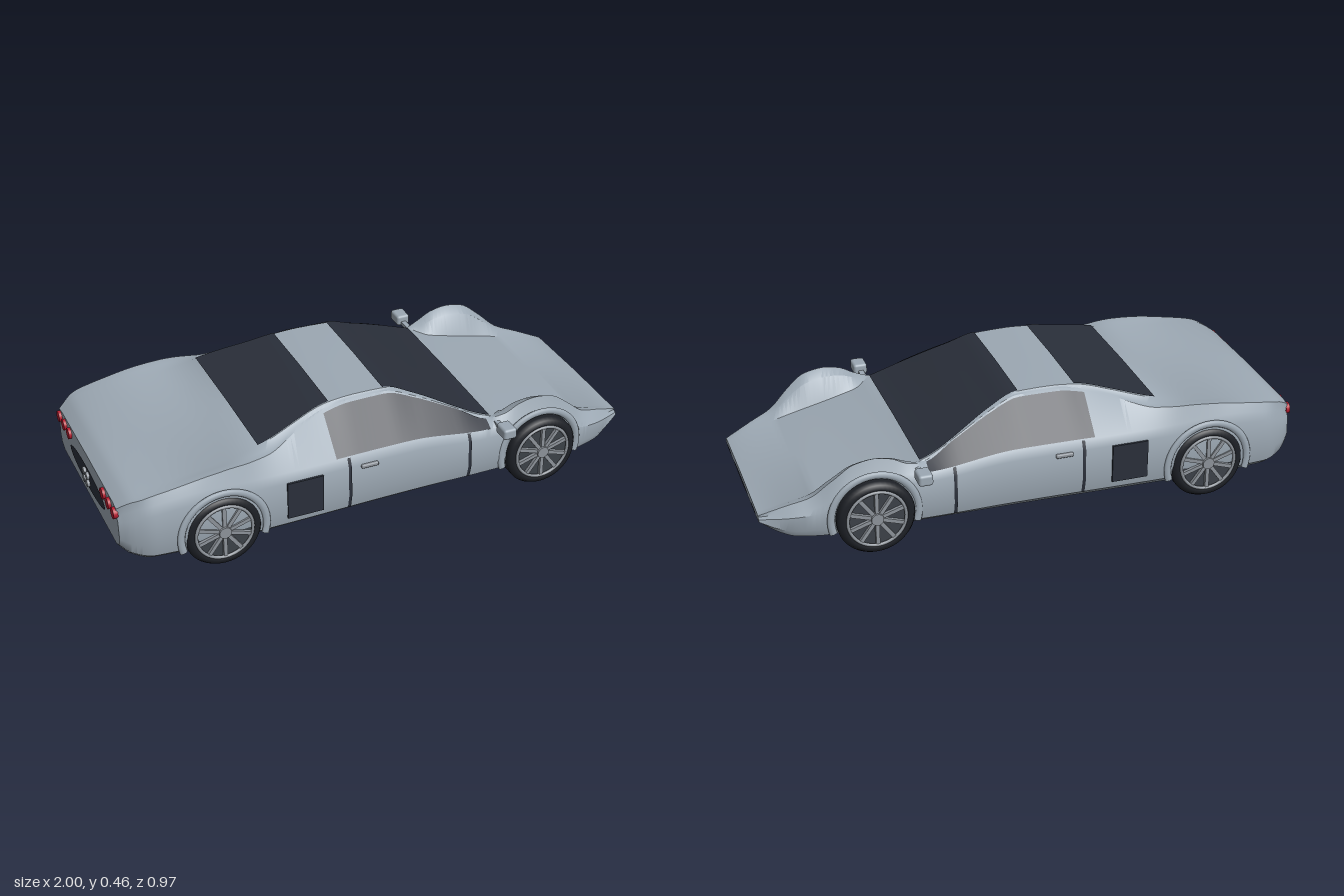
import * as THREE from 'three';
import { toCreasedNormals } from 'three/addons/utils/BufferGeometryUtils.js';
import { RoundedBoxGeometry } from 'three/addons/geometries/RoundedBoxGeometry.js';

const mat = (name, color, side = THREE.FrontSide) => {
  const m = new THREE.MeshStandardMaterial({ color, side });
  m.name = name;
  return m;
};

// Smooth curve through [x, value] keys without overshoot
function curve(keys) {
  const n = keys.length;
  const d = keys.slice(1).map((k, i) => (k[1] - keys[i][1]) / (k[0] - keys[i][0]));
  const slope = keys.map((k, i) => {
    if (i === 0) return d[0];
    if (i === n - 1) return d[n - 2];
    return d[i - 1] * d[i] <= 0 ? 0 : 2 * d[i - 1] * d[i] / (d[i - 1] + d[i]);
  });
  return (x) => {
    let i = 0;
    while (i < n - 2 && x > keys[i + 1][0]) i++;
    const h = keys[i + 1][0] - keys[i][0];
    const t = THREE.MathUtils.clamp((x - keys[i][0]) / h, 0, 1), t2 = t * t, t3 = t2 * t;
    return (2 * t3 - 3 * t2 + 1) * keys[i][1] + (t3 - 2 * t2 + t) * h * slope[i]
      + (3 * t2 - 2 * t3) * keys[i + 1][1] + (t3 - t2) * h * slope[i + 1];
  };
}

// Body lines along the length of the car
const halfWidth = curve([[-0.985, 0.36], [-0.95, 0.388], [-0.87, 0.42], [-0.7, 0.432], [-0.4, 0.428],
  [0, 0.418], [0.5, 0.412], [0.75, 0.405], [0.85, 0.38], [0.97, 0.325], [0.998, 0.31]]);
const floorY = curve([[-0.985, 0.115], [-0.95, 0.085], [-0.88, 0.066], [0.88, 0.066], [0.93, 0.08], [0.998, 0.123]]);
const beltY = curve([[-0.985, 0.25], [-0.9, 0.29], [-0.7, 0.315], [-0.5, 0.306], [-0.2, 0.3], [0.1, 0.298],
  [0.4, 0.268], [0.5, 0.272], [0.6, 0.285], [0.7, 0.26], [0.8, 0.19], [0.9, 0.165], [0.998, 0.14]]);
const shoulderZ = curve([[-0.985, 0.345], [-0.9, 0.385], [-0.7, 0.395], [-0.55, 0.39], [-0.45, 0.37], [-0.3, 0.31],
  [-0.17, 0.275], [0.04, 0.268], [0.3, 0.325], [0.42, 0.355], [0.5, 0.372], [0.7, 0.372], [0.8, 0.35], [0.998, 0.295]]);
const shoulderY = curve([[-0.985, 0.28], [-0.93, 0.312], [-0.8, 0.338], [-0.65, 0.36], [-0.55, 0.366], [-0.45, 0.366],
  [-0.3, 0.405], [-0.2, 0.432], [-0.1, 0.449], [0.04, 0.448], [0.15, 0.412], [0.3, 0.346], [0.42, 0.288],
  [0.48, 0.302], [0.54, 0.332], [0.6, 0.343], [0.67, 0.332], [0.75, 0.275], [0.82, 0.215], [0.9, 0.185], [0.998, 0.147]]);
const edgeZ = curve([[-0.985, 0.31], [-0.9, 0.34], [-0.7, 0.33], [-0.46, 0.32], [-0.17, 0.26], [0.04, 0.255],
  [0.43, 0.345], [0.5, 0.3], [0.75, 0.29], [0.998, 0.27]]);
const edgeY = curve([[-0.985, 0.285], [-0.93, 0.318], [-0.8, 0.337], [-0.6, 0.352], [-0.46, 0.38], [-0.3, 0.422],
  [-0.17, 0.452], [-0.08, 0.458], [0.04, 0.455], [0.15, 0.415], [0.43, 0.29], [0.6, 0.245], [0.8, 0.2], [0.998, 0.148]]);

// Half cross-section, from under the floor up to the centre line of the top
function half(x) {
  const w = halfWidth(x), f = floorY(x), b = beltY(x), h = b - f;
  const sz = shoulderZ(x), sy = shoulderY(x), ez = edgeZ(x), ey = edgeY(x);
  return [[0, f], [w - 0.045, f], [w - 0.012, f + 0.12 * h], [w, f + 0.36 * h], [w - 0.004, f + 0.86 * h],
    [w - 0.018, b], [sz, sy], [sz + (ez - sz) * 0.5, sy + (ey - sy) * 0.22], [ez, ey], [0, ey + 0.004]]
    .map(([z, y]) => new THREE.Vector3(x, y, z));
}
const flip = (p) => new THREE.Vector3(p.x, p.y, -p.z);
const steps = (a, b, n) => Array.from({ length: n + 1 }, (_, i) => a + (b - a) * i / n);

// Skin a list of rows of points; caps close both ends
function skin(rows, caps = false) {
  const pos = [], m = rows[0].length;
  const tri = (...p) => p.forEach((v) => pos.push(v.x, v.y, v.z));
  for (let i = 0; i < rows.length - 1; i++) {
    for (let j = 0; j < m - 1; j++) {
      const a = rows[i][j], b = rows[i + 1][j], c = rows[i + 1][j + 1], d = rows[i][j + 1];
      tri(a, b, c);
      tri(a, c, d);
    }
  }
  if (caps) [rows[0], rows[rows.length - 1]].forEach((r, k) => {
    const c = new THREE.Vector3(r[0].x, (r[0].y + r[9].y) / 2, 0);
    for (let j = 0; j < m - 1; j++) k ? tri(c, r[j + 1], r[j]) : tri(c, r[j], r[j + 1]);
  });
  const g = new THREE.BufferGeometry();
  g.setAttribute('position', new THREE.Float32BufferAttribute(pos, 3));
  return toCreasedNormals(g, 0.6);
}

export function createModel() {
  const car = new THREE.Group();
  car.name = 'sportsCar';
  const paint = mat('silver paint', 0x9ca8b3);
  const glass = mat('dark glass', 0x2a2f3a, THREE.DoubleSide);
  const rubber = mat('tyre rubber', 0x1d2026);
  const metal = mat('wheel metal', 0x8d939a);
  const dark = mat('dark metal', 0x3c4148);
  const red = mat('red lamp', 0xb51d30);
  const add = (name, geo, m, x = 0, y = 0, z = 0, parent = car) => {
    const mesh = new THREE.Mesh(geo, m);
    mesh.name = name;
    mesh.position.set(x, y, z);
    parent.add(mesh);
    return mesh;
  };

  // Body shell
  const ring = (x) => {
    const p = half(x);
    return [...p, ...p.slice(0, 9).reverse().map(flip)];
  };
  add('body', skin(steps(-0.985, 0.998, 120).map(ring), true), paint);

  // Windscreen and rear window lie just above the body
  const across = (x) => {
    const p = half(x);
    const e = p[8].clone(), c = p[9].clone();
    e.y += 0.004; c.y += 0.004;
    return [e, c, flip(e)];
  };
  add('windscreen', skin(steps(0.04, 0.43, 18).map(across)), glass);
  add('rearWindow', skin(steps(-0.46, -0.17, 14).map(across)), glass);

  // Strip on the body side between two section points, for either side
  const onSide = (name, x0, x1, n, pick, side) => add(name, skin(steps(x0, x1, n).map((x) => pick(half(x)).map((p) => {
    const q = p.clone().add(new THREE.Vector3(0, 0.002, 0.004));
    return side > 0 ? q : flip(q);
  }))), glass);

  for (const side of [1, -1]) {
    const s = side > 0 ? 'left' : 'right';
    const face = side > 0 ? 0 : Math.PI;
    onSide(s + 'SideWindow', -0.2, 0.41, 28,
      (p) => [p[5].clone().lerp(p[6], 0.03), p[5].clone().lerp(p[6], 0.96)], -side);
    for (const [x, k] of [[-0.155, 6], [0.32, 6]]) {
      onSide(s + 'DoorSeam', x - 0.006, x + 0.006, 1, (p) => p.slice(2, k), -side);
    }
    // Slits on the front fender
    for (const t of [0.1, 0.45, 0.8]) {
      onSide(s + 'FenderSlit', 0.56, 0.69, 6,
        (p) => [p[7].clone().lerp(p[8], t), p[7].clone().lerp(p[8], t + 0.06)], -side);
    }
    add(s + 'SideVent', new THREE.BoxGeometry(0.135, 0.145, 0.008), glass, -0.328, 0.198, side * (halfWidth(-0.33) + 0.001));
    add(s + 'DoorHandle', new RoundedBoxGeometry(0.065, 0.015, 0.014, 2, 0.005), metal, -0.08, 0.262, side * (halfWidth(-0.08) + 0.002));

    // Door mirror on a short arm
    add(s + 'Mirror', new RoundedBoxGeometry(0.052, 0.042, 0.068, 3, 0.01), paint, 0.445, 0.286, side * 0.451);
    add(s + 'MirrorArm', new THREE.BoxGeometry(0.02, 0.014, 0.06), paint, 0.445, 0.276, side * 0.398);

    // Wheels and arch lips
    for (const [end, x] of [['Front', 0.61], ['Rear', -0.632]]) {
      const lip = new THREE.TorusGeometry(0.157, 0.014, 8, 40, Math.PI + 0.6);
      lip.rotateZ(-0.3).scale(1, 1, 0.6);
      add(s + end + 'ArchLip', lip, paint, x, 0.14, side * (halfWidth(x) - 0.002));

      const wheel = new THREE.Group();
      wheel.name = s + end + 'Wheel';
      wheel.position.set(x, 0.14, side * 0.375);
      wheel.rotation.y = face;
      car.add(wheel);
      const tyre = new THREE.LatheGeometry([[0.02, -0.06], [0.115, -0.063], [0.131, -0.058], [0.14, -0.044], [0.14, 0.044],
        [0.131, 0.058], [0.115, 0.063], [0.106, 0.056], [0.104, 0.04]].map(([r, y]) => new THREE.Vector2(r, y)), 48);
      add('tyre', tyre.rotateX(Math.PI / 2), rubber, 0, 0, 0, wheel);
      add('rimDish', new THREE.CylinderGeometry(0.106, 0.106, 0.02, 40).rotateX(Math.PI / 2), dark, 0, 0, 0.04, wheel);
      add('rimRing', new THREE.TorusGeometry(0.104, 0.006, 8, 48), metal, 0, 0, 0.059, wheel);
      add('hub', new THREE.CylinderGeometry(0.022, 0.026, 0.022, 24).rotateX(Math.PI / 2), metal, 0, 0, 0.057, wheel);
      for (let i = 0; i < 10; i++) {
        const spoke = new THREE.BoxGeometry(0.014, 0.085, 0.014).translate(0, 0.061, 0).rotateZ(i * Math.PI / 5);
        add('spoke', spoke, metal, 0, 0, 0.055, wheel);
      }
    }

    // Tail lamps, exhausts and outer nose intake
    for (const z of [0.205, 0.268, 0.33]) {
      add(s + 'TailLamp', new THREE.CylinderGeometry(0.021, 0.021, 0.016, 24).rotateZ(Math.PI / 2), red, -0.988, 0.256, side * z);
    }
    for (const y of [0.18, 0.212]) {
      add(s + 'Exhaust', new THREE.CylinderGeometry(0.014, 0.014, 0.02, 20).rotateZ(Math.PI / 2), metal, -0.988, y, side * 0.018);
    }
    const intake = new THREE.CircleGeometry(1, 32).scale(0.042, 0.006, 1).rotateY(Math.PI / 2);
    add(s + 'NoseIntake', intake, glass, 1, 0.136, side * 0.222);
  }

  // Centre intake and tail panel
  add('centreIntake', new THREE.CircleGeometry(1, 40).scale(0.125, 0.008, 1).rotateY(Math.PI / 2), glass, 1, 0.136, 0);
  add('tailPanel', new THREE.CircleGeometry(1, 40).scale(0.21, 0.042, 1).rotateY(-Math.PI / 2), glass, -0.988, 0.196, 0);
  return car;
}
